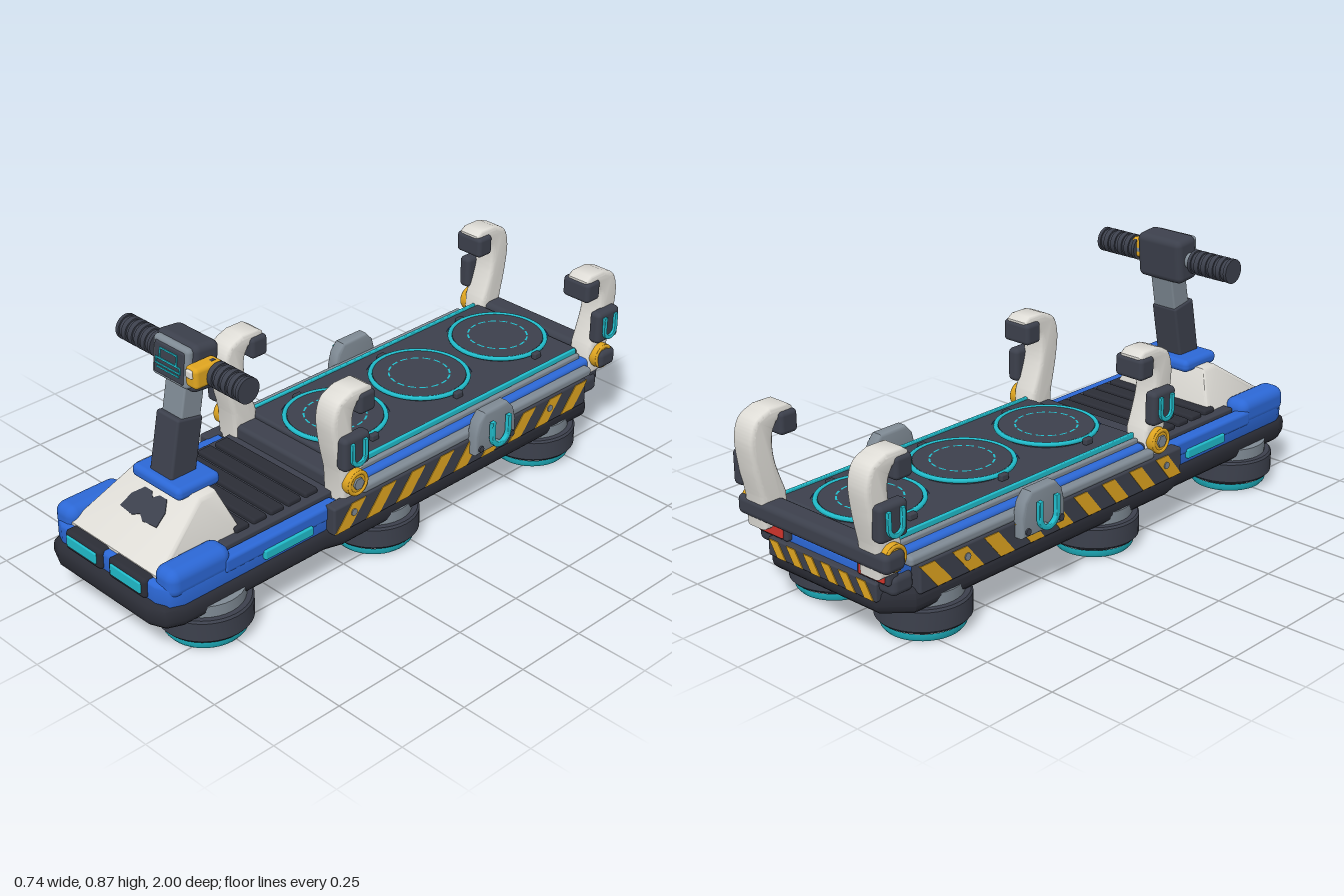
import * as THREE from 'three';
import { toCreasedNormals } from 'three/addons/utils/BufferGeometryUtils.js';
import { RoundedBoxGeometry } from 'three/addons/geometries/RoundedBoxGeometry.js';

const mat = (name, color) => new THREE.MeshStandardMaterial({ name, color });
const dark = mat('charcoal', 0x3c404c), black = mat('rubber black', 0x2b2d36), blue = mat('blue', 0x2c68d6);
const cyan = mat('cyan glow', 0x20bccb), white = mat('off white', 0xdedcd6), grey = mat('steel grey', 0x7f8a94);
const yellow = mat('warning yellow', 0xdfa520), red = mat('tail red', 0xd0342c);

function add(parent, name, geo, material, x = 0, y = 0, z = 0) {
  const m = new THREE.Mesh(geo, material);
  m.name = name;
  m.position.set(x, y, z);
  parent.add(m);
  return m;
}
function group(parent, name) {
  const g = new THREE.Group();
  g.name = name;
  parent.add(g);
  return g;
}
// Rounded box given by its limits on each axis
function box(parent, name, material, [x0, x1], [y0, y1], [z0, z1], r = 0.008) {
  const w = x1 - x0, h = y1 - y0, d = z1 - z0;
  const geo = new RoundedBoxGeometry(w, h, d, 3, Math.min(r, w * 0.49, h * 0.49, d * 0.49));
  return add(parent, name, geo, material, (x0 + x1) / 2, (y0 + y1) / 2, (z0 + z1) / 2);
}
const poly = pts => new THREE.Shape(pts.map(p => new THREE.Vector2(...p)));
function extrude(shape, depth, b) {
  return new THREE.ExtrudeGeometry(shape, {
    depth: depth - 2 * b, bevelEnabled: b > 0, bevelThickness: b, bevelSize: b, bevelOffset: -b, bevelSegments: 3, curveSegments: 10,
  }).translate(0, 0, b - depth / 2);
}
// Profile in (z, y), extruded across x and centred
const across = (shape, width, b = 0) => toCreasedNormals(extrude(shape, width, b).rotateY(-Math.PI / 2), 0.7);
// Plan outline of half-width w with cut corners, from z0 to z1, laid flat between y0 and y1
function slab(parent, name, material, [wBack, wFront], [z0, z1], [y0, y1], cut, b) {
  const c = cut, k = c * 0.3, half = [];
  half.push([wFront - c, z1], [wFront - k, z1 - k], [wFront, z1 - c], [wFront, 0.36], [wBack, 0.3], [wBack, z0 + c], [wBack - c, z0]);
  const pts = [...half, ...half.map(([x, z]) => [-x, z]).reverse()];
  const geo = extrude(poly(pts.reverse()), y1 - y0, b).rotateX(Math.PI / 2);
  return add(parent, name, toCreasedNormals(geo, 0.8), material, 0, (y0 + y1) / 2, 0);
}
const lathe = (pts, n = 40) => toCreasedNormals(new THREE.LatheGeometry(pts.map(p => new THREE.Vector2(...p)), n), 0.7);
const cyl = (r, h, n = 32) => new THREE.CylinderGeometry(r, r, h, n);
const cylX = (r, h, n = 32) => cyl(r, h, n).rotateZ(Math.PI / 2);

// Horseshoe light outline, open at the top
function horseshoe(a, t, h) {
  const s = new THREE.Shape();
  s.moveTo(-a, h).lineTo(-a, 0).absarc(0, 0, a, Math.PI, 2 * Math.PI, false);
  s.lineTo(a, h).lineTo(a - t, h).lineTo(a - t, 0).absarc(0, 0, a - t, 2 * Math.PI, Math.PI, true);
  s.lineTo(-a + t, h);
  return s;
}

// Hover pod with a glowing ring and a spoked fan underneath
function pod(parent, x, z) {
  const g = group(parent, 'hoverPod');
  g.position.set(x, 0, z);
  add(g, 'podHousing', lathe([[0.001, 0.025], [0.125, 0.025], [0.14, 0.033], [0.148, 0.042], [0.148, 0.105], [0.142, 0.112], [0.001, 0.112]]), dark);
  add(g, 'podRing', lathe([[0.098, 0.026], [0.098, 0.008], [0.104, 0], [0.122, 0], [0.13, 0.01], [0.133, 0.028]]), cyan);
  add(g, 'podInnerRim', lathe([[0.086, 0.026], [0.086, 0.01], [0.098, 0.01], [0.098, 0.026]]), black);
  add(g, 'podNeck', cyl(0.125, 0.05), grey, 0, 0.125, 0);
  add(g, 'podHub', cyl(0.036, 0.02, 24), grey, 0, 0.018, 0);
  for (let i = 0; i < 8; i++) {
    const a = (i * Math.PI) / 4;
    add(g, 'podSpoke', new THREE.BoxGeometry(0.06, 0.012, 0.012), black, Math.cos(a) * 0.06, 0.021, -Math.sin(a) * 0.06).rotation.y = a;
  }
}

// Curved holding arm in front position, on the +x side
function arm(parent) {
  const s = new THREE.Shape();
  s.moveTo(0.2, 0.26).lineTo(0.29, 0.26).lineTo(0.295, 0.36);
  s.splineThru([[0.317, 0.46], [0.326, 0.55], [0.305, 0.61], [0.25, 0.637]].map(p => new THREE.Vector2(...p)));
  s.lineTo(0.185, 0.637).lineTo(0.163, 0.622).lineTo(0.163, 0.595).lineTo(0.225, 0.59);
  s.splineThru([[0.243, 0.55], [0.238, 0.47], [0.2, 0.36]].map(p => new THREE.Vector2(...p)));
  add(parent, 'armBody', across(s, 0.09, 0.014), white, 0.245);
  box(parent, 'gripPad', dark, [0.187, 0.298], [0.545, 0.618], [0.158, 0.225], 0.014);
  box(parent, 'armSidePad', dark, [0.275, 0.32], [0.385, 0.5], [0.2, 0.31], 0.016);
  add(parent, 'armLight', across(horseshoe(0.034, 0.014, 0.052), 0.016, 0.002), cyan, 0.322, 0.43, 0.255);
  add(parent, 'pivot', cylX(0.043, 0.04), yellow, 0.291, 0.325, 0.247);
  add(parent, 'pivotRim', new THREE.TorusGeometry(0.036, 0.007, 8, 32).rotateY(Math.PI / 2), yellow, 0.309, 0.325, 0.247);
  add(parent, 'pivotBolt', cylX(0.021, 0.012, 6), grey, 0.312, 0.325, 0.247);
}

// Everything on the +x side; mirrored for the other side
function side(parent) {
  for (const z of [0.765, 0.06, -0.7]) pod(parent, 0.19, z);
  const front = group(parent, 'frontArm'), rear = group(parent, 'rearArm');
  arm(front);
  arm(rear);
  rear.scale.z = -1;
  rear.position.z = -0.67;

  // Warning panel and slanted stripes
  box(parent, 'warningPanel', dark, [0.27, 0.315], [0.178, 0.275], [-0.83, 0.35], 0.008);
  const stripe = across(poly([[0.065, -0.042], [0.005, -0.042], [-0.065, 0.042], [-0.005, 0.042]].reverse()), 0.006);
  for (let i = 0; i < 9; i++) add(parent, 'warningStripe', stripe, yellow, 0.3145, 0.226, 0.282 - i * 0.131);
  for (const z of [0.27, -0.64]) add(parent, 'panelBolt', cylX(0.012, 0.008, 12), grey, 0.317, 0.235, z);

  box(parent, 'sideRail', grey, [0.275, 0.312], [0.272, 0.304], [-0.86, 0.22], 0.012);
  box(parent, 'bedTrim', grey, [0.238, 0.256], [0.29, 0.333], [-0.86, 0.2], 0.006);
  box(parent, 'bedLight', cyan, [0.226, 0.238], [0.3, 0.347], [-0.86, 0.2], 0.003);

  // Side bracket
  const dome = [[-0.094, -0.07], [0.094, -0.07], [0.094, 0], [0.082, 0.045], [0.055, 0.075], [-0.055, 0.075], [-0.082, 0.045], [-0.094, 0]];
  add(parent, 'sideBracket', across(poly(dome), 0.045, 0.01), grey, 0.324, 0.294, -0.342);
  add(parent, 'bracketLight', across(horseshoe(0.046, 0.017, 0.056), 0.016, 0.003), cyan, 0.363, 0.281, -0.342);
  add(parent, 'lightMount', cylX(0.01, 0.02, 10), grey, 0.351, 0.243, -0.342);
  for (const z of [-0.415, -0.269]) add(parent, 'bracketBolt', cylX(0.011, 0.01, 12), dark, 0.347, 0.245, z);

  // Front corner, lights and footboard edge
  box(parent, 'frontFender', blue, [0.188, 0.282], [0.212, 0.308], [0.725, 0.96], 0.035);
  box(parent, 'footboardEdge', blue, [0.238, 0.284], [0.22, 0.272], [0.3, 0.76], 0.012);
  box(parent, 'sideLight', cyan, [0.275, 0.293], [0.204, 0.236], [0.415, 0.61], 0.005);
  box(parent, 'headlightFrame', black, [0.017, 0.188], [0.193, 0.262], [0.93, 0.988], 0.014);
  box(parent, 'headlight', cyan, [0.034, 0.174], [0.211, 0.249], [0.96, 0.994], 0.004);
  box(parent, 'rearCorner', dark, [0.22, 0.295], [0.19, 0.255], [-0.915, -0.83], 0.02);
  box(parent, 'tailLightFrame', dark, [0.15, 0.285], [0.226, 0.282], [-0.925, -0.88], 0.01);
  box(parent, 'tailLight', red, [0.165, 0.272], [0.236, 0.273], [-0.932, -0.9], 0.004);

  // Ribbed hand grip
  add(parent, 'grip', cylX(0.036, 0.16), dark, 0.195, 0.79, 0.645);
  for (let i = 0; i < 6; i++) add(parent, 'gripRib', cylX(0.041, i % 5 ? 0.018 : 0.012), dark, 0.121 + i * 0.0296, 0.79, 0.645);
}

// Lift disc on the bed
function disc(parent, z) {
  const g = group(parent, 'liftDisc');
  g.position.set(0, 0.338, z);
  add(g, 'discBase', lathe([[0.001, 0.016], [0.166, 0.016], [0.178, 0.01], [0.182, 0], [0.182, -0.01]], 48), blue);
  add(g, 'discTop', cyl(0.155, 0.02, 48), dark, 0, 0.01, 0);
  add(g, 'discGlow', new THREE.TorusGeometry(0.163, 0.008, 8, 48).rotateX(Math.PI / 2), cyan, 0, 0.016, 0);
  for (let i = 0; i < 16; i++)
    add(g, 'discDash', new THREE.RingGeometry(0.098, 0.104, 3, 1, (i * Math.PI) / 8, 0.27).rotateX(-Math.PI / 2), cyan, 0, 0.0215, 0);
  for (const x of [-0.176, 0.176]) box(g, 'discClip', dark, [x - 0.01, x + 0.01], [0, 0.022], [-0.016, 0.016], 0.005);
}

export function createModel() {
  const model = new THREE.Group();
  model.name = 'hoverCart';

  // Chassis layers
  slab(model, 'bumper', black, [0.308, 0.29], [-0.92, 1.0], [0.112, 0.198], 0.08, 0.032);
  slab(model, 'body', blue, [0.278, 0.28], [-0.905, 0.975], [0.18, 0.256], 0.06, 0.012);
  box(model, 'bedFrame', blue, [-0.282, 0.282], [0.24, 0.318], [-0.885, 0.21], 0.014);
  box(model, 'bed', dark, [-0.232, 0.232], [0.3, 0.34], [-0.88, 0.21], 0.01);
  for (const z of [0.045, -0.34, -0.725]) disc(model, z);
  box(model, 'frontCrossBar', dark, [-0.285, 0.285], [0.26, 0.325], [0.195, 0.285], 0.014);
  box(model, 'rearCrossBar', dark, [-0.325, 0.325], [0.285, 0.35], [-0.968, -0.885], 0.02);

  // Ribbed footboard
  box(model, 'footboard', dark, [-0.238, 0.238], [0.24, 0.282], [0.25, 0.72], 0.006);
  for (let i = 0; i < 5; i++) box(model, 'footRib', black, [-0.212, 0.212], [0.275, 0.298], [0.32 + i * 0.07, 0.374 + i * 0.07], 0.008);

  // Rear warning strip
  box(model, 'rearWarningPanel', dark, [-0.235, 0.235], [0.162, 0.222], [-0.928, -0.88], 0.006);
  const slant = extrude(poly([[-0.036, -0.026], [0.002, -0.026], [0.036, 0.026], [-0.002, 0.026]]), 0.006, 0);
  for (let i = 0; i < 6; i++) add(model, 'rearStripe', slant, yellow, -0.19 + i * 0.076, 0.192, -0.928);

  // Hood, narrowing upward
  const hood = across(poly([[0.95, 0.24], [0.95, 0.265], [0.735, 0.412], [0.67, 0.412], [0.625, 0.28], [0.625, 0.24]].reverse()), 0.42, 0.012);
  const p = hood.attributes.position;
  for (let i = 0; i < p.count; i++) p.setX(i, p.getX(i) * (1 - 0.3 * THREE.MathUtils.clamp((p.getY(i) - 0.27) / 0.14, 0, 1)));
  hood.deleteAttribute('normal');
  hood.computeVertexNormals();
  add(model, 'hood', toCreasedNormals(hood, 0.6), white);
  const half = [[0, -0.03], [0.025, -0.045], [0.085, -0.04], [0.078, 0.01], [0.05, 0.047], [0.018, 0.047], [0, 0.03]];
  const vent = poly([...half, ...half.slice(1, -1).map(([x, y]) => [-x, y]).reverse()]);
  add(model, 'hoodPanel', extrude(vent, 0.008, 0), dark, 0, 0.354, 0.817).rotation.x = -0.97;

  // Steering column
  box(model, 'columnCollar', blue, [-0.112, 0.112], [0.398, 0.441], [0.62, 0.785], 0.018);
  box(model, 'columnLower', dark, [-0.051, 0.051], [0.41, 0.622], [0.648, 0.745], 0.008).rotation.x = -0.19;
  box(model, 'columnUpper', grey, [-0.045, 0.045], [0.58, 0.76], [0.622, 0.698], 0.006).rotation.x = -0.19;

  // Display head and controls
  const head = group(model, 'displayHead');
  head.position.set(0, 0.79, 0.645);
  head.rotation.x = -0.1;
  box(head, 'headShell', dark, [-0.092, 0.092], [-0.076, 0.076], [-0.052, 0.045], 0.022);
  box(head, 'screenFrame', grey, [-0.08, 0.08], [-0.062, 0.066], [0.03, 0.062], 0.014);
  box(head, 'screen', dark, [-0.067, 0.067], [-0.05, 0.053], [0.05, 0.066], 0.007);
  const frame = (w, y0, y1) => {
    const s = poly([[-w, y0], [w, y0], [w, y1], [-w, y1]]), t = 0.005;
    s.holes.push(poly([[-w + t, y0 + t], [-w + t, y1 - t], [w - t, y1 - t], [w - t, y0 + t]]));
    return extrude(s, 0.004, 0);
  };
  add(head, 'screenUpperLine', frame(0.04, 0, 0.038), cyan, 0, 0, 0.067);
  add(head, 'screenLowerLine', frame(0.056, -0.018, 0.004), cyan, 0, 0, 0.067);
  add(head, 'screenBaseLine', new THREE.BoxGeometry(0.1, 0.005, 0.004), cyan, 0, -0.027, 0.067);
  add(model, 'handlebar', cylX(0.026, 0.3), grey, 0, 0.79, 0.645);
  box(model, 'throttle', yellow, [0.088, 0.14], [0.762, 0.83], [0.62, 0.725], 0.014);
  box(model, 'throttleButton', white, [0.1, 0.127], [0.797, 0.823], [0.71, 0.731], 0.005);

  // Mirrored sides
  for (const s of [1, -1]) {
    const g = group(model, s > 0 ? 'leftSide' : 'rightSide');
    g.scale.x = s;
    side(g);
  }
  return model;
}
